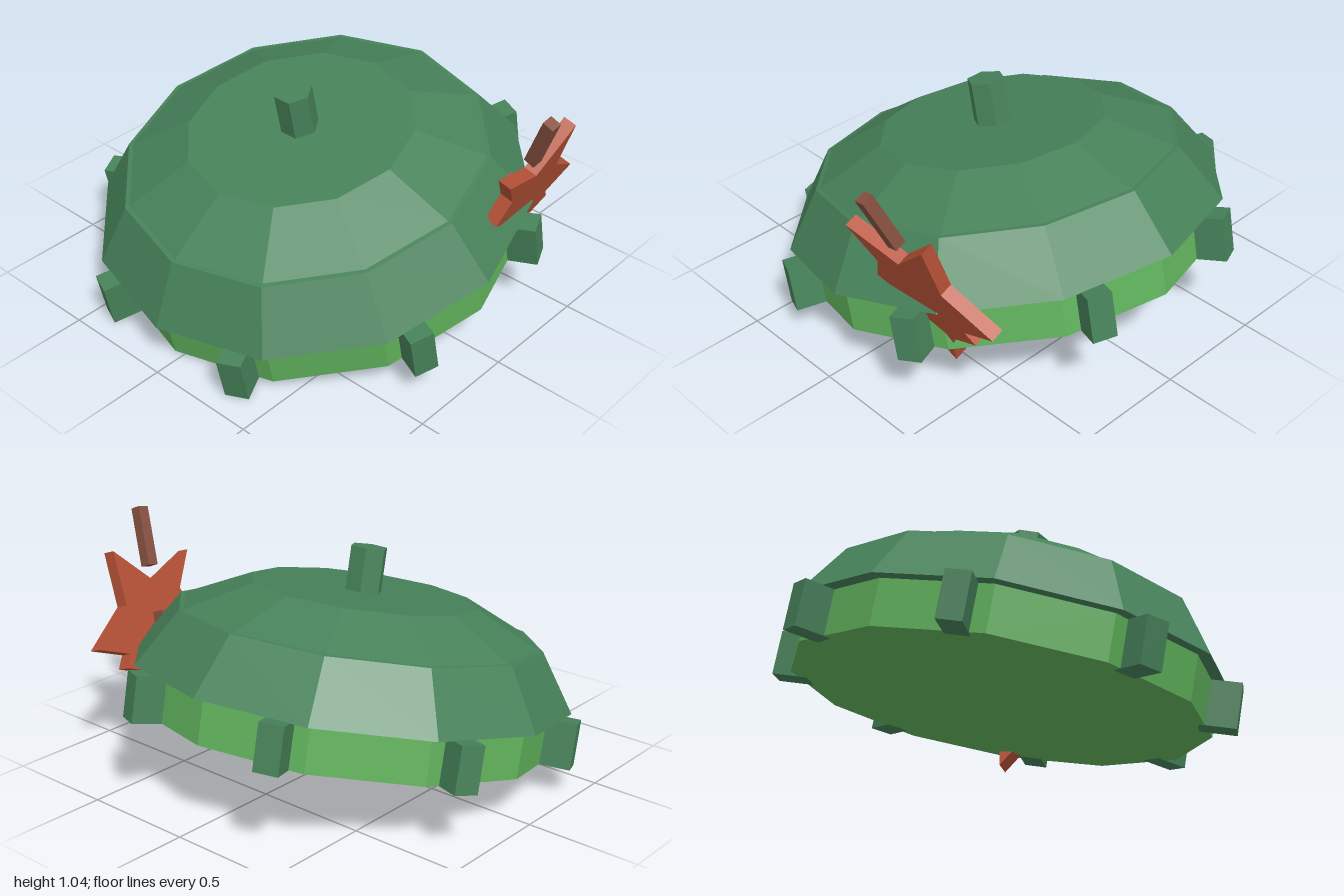
import * as THREE from 'three';

const paint = (name, color) => Object.assign(new THREE.MeshStandardMaterial({ color }), { name });

// Mesh with one normal per face
function faceted(name, geometry, material) {
  const g = geometry.index ? geometry.toNonIndexed() : geometry;
  g.computeVertexNormals();
  const mesh = new THREE.Mesh(g, material);
  mesh.name = name;
  return mesh;
}

// Square twig between two points
function twig(name, from, to, width, material) {
  const a = new THREE.Vector3(...from), b = new THREE.Vector3(...to);
  const dir = b.clone().sub(a);
  const mesh = faceted(name, new THREE.BoxGeometry(width, dir.length(), width), material);
  mesh.position.copy(a).add(b).multiplyScalar(0.5);
  mesh.quaternion.setFromUnitVectors(new THREE.Vector3(0, 1, 0), dir.normalize());
  return mesh;
}

export function createModel() {
  const darkGreen = paint('dark green', 0x47825a);
  const lightGreen = paint('light green', 0x60b25c);
  const rust = paint('rust red', 0xb65136);
  const brown = paint('brown', 0x855040);

  const model = new THREE.Group();
  model.name = 'capWithLeaf';

  // Tilted cap assembly, origin at the centre of the rim
  const cap = new THREE.Group();
  cap.name = 'cap';
  cap.position.set(-0.015, 0.39, -0.035);
  cap.rotation.z = 0.207;
  model.add(cap);

  // Twelve-sided dome with an overhanging rim and a small ledge
  const profile = [[0.89, 0], [0.965, 0], [0.803, 0.247], [0.783, 0.249], [0.496, 0.385], [0, 0.385]]
    .map(([r, y]) => new THREE.Vector2(r, y));
  cap.add(faceted('dome', new THREE.LatheGeometry(profile, 12), darkGreen));

  // Pale base band under the rim
  const base = faceted('base', new THREE.CylinderGeometry(0.91, 0.91, 0.197, 12), lightGreen);
  base.position.y = -0.0985;
  cap.add(base);

  // Hexagonal knob
  const knob = faceted('knob', new THREE.CylinderGeometry(0.083, 0.083, 0.21, 6), darkGreen);
  knob.position.y = 0.472;
  cap.add(knob);

  // Eight lugs around the base
  for (let i = 0; i < 8; i++) {
    const angle = (i + 0.5) * Math.PI / 4;
    const lug = faceted('lug', new THREE.BoxGeometry(0.16, 0.199, 0.105), darkGreen);
    lug.position.set(Math.cos(angle) * 0.93, -0.0985, Math.sin(angle) * 0.93);
    lug.rotation.y = -angle;
    cap.add(lug);
  }

  // Pointed leaf stuck through the rim, leaning outwards at the top
  const outline = [
    [0.09, 0.79], [0.2, 0.645], [0.15, 0.53], [0.32, 0.46], [0.37, 0.29], [0.45, 0.19],
    [0.475, 0.3], [0.5, 0.36], [0.63, 0.41], [0.59, 0.46], [0.755, 0.525],
    [0.54, 0.655], [0.53, 0.885], [0.34, 0.71],
  ].map(([x, y]) => new THREE.Vector2(x, y));
  const leafGeometry = new THREE.ExtrudeGeometry(new THREE.Shape(outline), { depth: 0.06, bevelEnabled: false });
  leafGeometry.translate(0, 0, -0.06);
  const slopeX = -0.078, slopeY = 0.344;
  const lean = new THREE.Matrix4().makeBasis(
    new THREE.Vector3(1, 0, slopeX),
    new THREE.Vector3(0, 1, slopeY),
    new THREE.Vector3(-slopeX, -slopeY, 1).normalize(),
  ).setPosition(0, 0, 0.662);
  leafGeometry.applyMatrix4(lean);
  model.add(faceted('leaf', leafGeometry, rust));

  // Leaf stalk, in two pieces
  model.add(twig('stalk', [0.322, 0.79, 0.867], [0.272, 1.03, 0.972], 0.052, brown));
  model.add(twig('stalkStub', [0.4, 0.46, 0.68], [0.367, 0.615, 0.745], 0.06, brown));

  return model;
}
